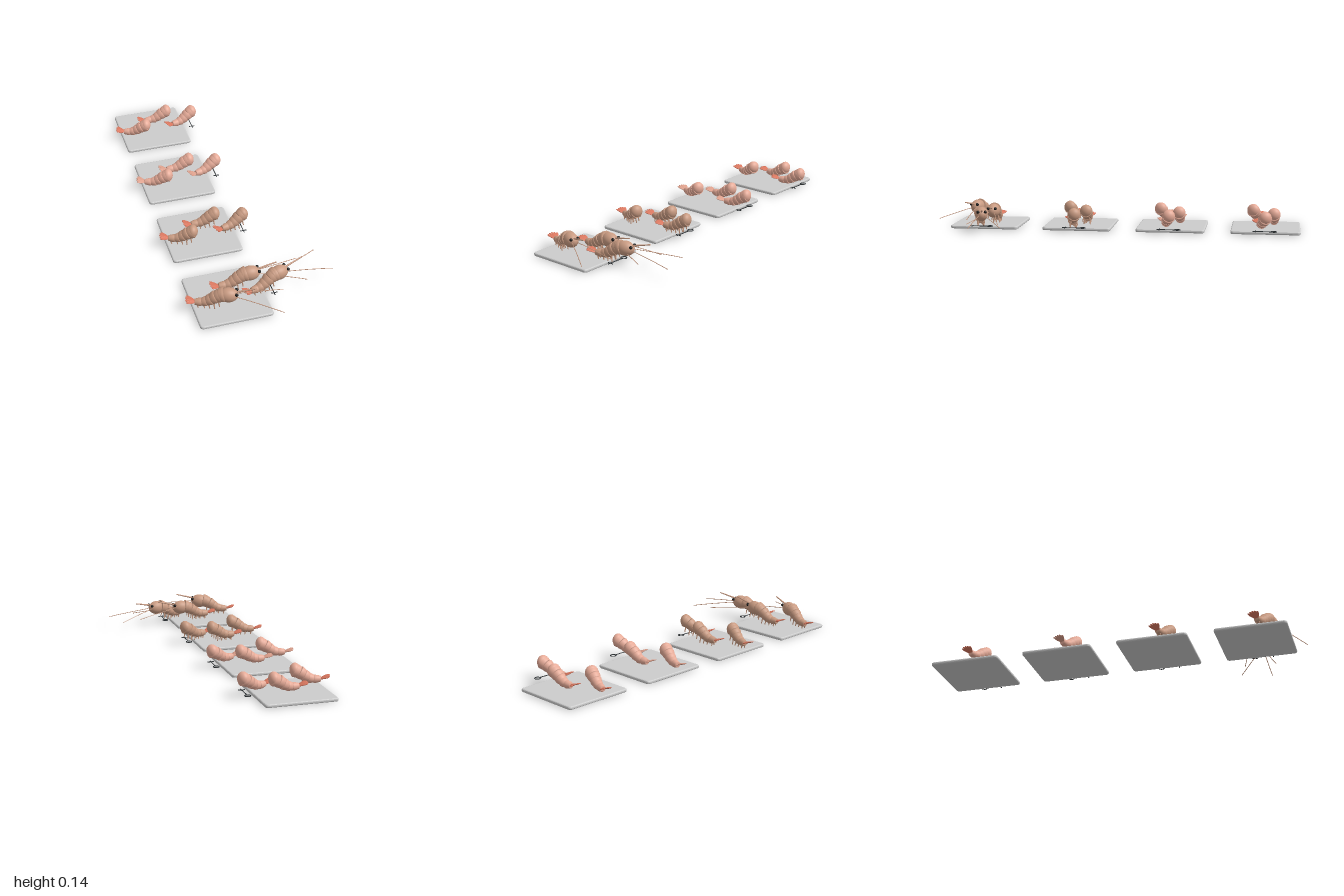
import * as THREE from 'three';

const mat = (color) => new THREE.MeshStandardMaterial({ color });
const mats = {
  metal: mat(0xcccccc), shell: mat(0xc99b82), flesh: mat(0xe6ab98),
  tail: mat(0xd9775f), paleTail: mat(0xdda08c), dark: mat(0x2b3033), eye: mat(0x181818),
};
const UP = new THREE.Vector3(0, 1, 0);

function add(parent, name, geometry, material, x = 0, y = 0, z = 0) {
  const mesh = new THREE.Mesh(geometry, material);
  mesh.name = name;
  mesh.position.set(x, y, z);
  parent.add(mesh);
  return mesh;
}

// Tapered rod between two points
function rod(parent, name, a, b, r0, r1, material) {
  const dir = b.clone().sub(a);
  const mesh = add(parent, name, new THREE.CylinderGeometry(r1, r0, dir.length(), 8), material);
  mesh.position.copy(a).addScaledVector(dir, 0.5);
  mesh.quaternion.setFromUnitVectors(UP, dir.normalize());
}

// Square tray with rounded corners and a bevelled edge
function tray() {
  const h = 0.183, c = 0.012;
  const s = new THREE.Shape();
  s.moveTo(-h + c, -h);
  s.lineTo(h - c, -h).quadraticCurveTo(h, -h, h, -h + c);
  s.lineTo(h, h - c).quadraticCurveTo(h, h, h - c, h);
  s.lineTo(-h + c, h).quadraticCurveTo(-h, h, -h, h - c);
  s.lineTo(-h, -h + c).quadraticCurveTo(-h, -h, -h + c, -h);
  const g = new THREE.ExtrudeGeometry(s, {
    depth: 0.004, bevelEnabled: true, bevelSize: 0.007, bevelThickness: 0.007, bevelSegments: 3, curveSegments: 6,
  });
  g.rotateX(-Math.PI / 2).translate(0, 0.007, 0);
  return g;
}

// Small hand tool: finger ring, stem and cross bar
function handTool() {
  const g = new THREE.Group();
  g.name = 'handTool';
  const y = 0.0245;
  const v = (x, z) => new THREE.Vector3(x, y, z);
  add(g, 'fingerRing', new THREE.TorusGeometry(0.015, 0.0025, 8, 24).rotateX(Math.PI / 2), mats.dark, 0, y, -0.045);
  rod(g, 'stem', v(0, -0.03), v(0, 0.068), 0.0025, 0.002, mats.dark);
  rod(g, 'crossBar', v(-0.017, 0.053), v(0.017, 0.053), 0.0025, 0.0025, mats.dark);
  return g;
}

// Abdomen stations from tail to front: distance, height, radius
const stations = [
  [0.05, 0.052, 0.015], [0.082, 0.051, 0.019], [0.108, 0.057, 0.0235],
  [0.132, 0.071, 0.0275], [0.156, 0.087, 0.031], [0.182, 0.098, 0.033],
];

// Barrel-shaped body ring with closed ends
function ringGeometry(len, r0, r1, bulge) {
  const pts = [[0, -0.5], [r0 * 0.9, -0.5], [r0 * 0.97 + bulge * 0.4, -0.42], [(r0 + r1) / 2 + bulge, 0],
    [r1 + bulge, 0.36], [r1 * 0.98 + bulge * 0.4, 0.5], [0, 0.5]];
  return new THREE.LatheGeometry(pts.map(([r, t]) => new THREE.Vector2(r, t * len)), 24);
}

function shrimp({ head, legs, body, tail }) {
  const g = new THREE.Group();
  g.name = 'shrimp';

  // Overlapping abdomen rings
  for (let i = 0; i < stations.length - 1; i++) {
    const [x0, y0, r0] = stations[i], [x1, y1, r1] = stations[i + 1];
    const a = new THREE.Vector3(x0, y0, 0), b = new THREE.Vector3(x1, y1, 0);
    const len = a.distanceTo(b) * 1.16;
    const ring = add(g, 'abdomenRing', ringGeometry(len, r0, r1, 0.0025), body);
    ring.position.copy(a).lerp(b, 0.5);
    ring.quaternion.setFromUnitVectors(UP, b.sub(a).normalize());
    if (!legs) continue;
    // Swimming legs in pairs
    for (const side of [-1, 1]) {
      const x = x0 + 0.012, top = Math.max(y0 - r0 * 0.6, 0.03);
      rod(g, 'swimmingLeg', new THREE.Vector3(x, top, side * r0 * 0.5),
        new THREE.Vector3(x + 0.005, i < 4 ? 0.02 : 0.037, side * r0 * 0.65), 0.004, 0.0025, body);
    }
  }
  // Rounded front of the abdomen
  const front = add(g, 'abdomenFront', new THREE.SphereGeometry(0.035, 24, 16), body, 0.178, 0.099, 0);
  front.scale.set(0.8, 1.02, 1);

  // Tail fan
  const fan = new THREE.Group();
  fan.name = 'tailFan';
  fan.position.set(0.056, 0.053, 0);
  fan.rotation.z = -0.33;
  for (let k = -2; k <= 2; k++) {
    const lobe = new THREE.SphereGeometry(1, 12, 8).scale(0.029, 0.004, 0.0095).translate(-0.03, 0, 0);
    add(fan, 'tailLobe', lobe, tail, 0, -Math.abs(k) * 0.0012, 0).rotation.y = k * 0.25;
  }
  g.add(fan);

  if (head) {
    // Carapace and collar
    add(g, 'carapace', new THREE.SphereGeometry(1, 28, 20).scale(0.05, 0.039, 0.036), body, 0.216, 0.098, 0);
    const collar = add(g, 'collar', ringGeometry(0.026, 0.034, 0.036, 0.0025), body, 0.183, 0.099, 0);
    collar.rotation.z = -Math.PI / 2 + 0.2;
    // Rostrum
    rod(g, 'rostrum', new THREE.Vector3(0.235, 0.112, 0), new THREE.Vector3(0.355, 0.138, 0), 0.0055, 0.003, body);
    for (const side of [-1, 1]) {
      add(g, 'eye', new THREE.SphereGeometry(0.0085, 14, 10), mats.eye, 0.257, 0.114, side * 0.02);
      // Long feelers, drooping toward the tip
      const path = new THREE.QuadraticBezierCurve3(new THREE.Vector3(0.25, 0.096, side * 0.012),
        new THREE.Vector3(0.37, 0.082, side * 0.046), new THREE.Vector3(0.492, 0.06, side * 0.086));
      add(g, 'feeler', new THREE.TubeGeometry(path, 16, 0.0019, 6), body);
    }
  }
  return g;
}

export function createModel() {
  const root = new THREE.Group();
  root.name = 'shrimpTrays';
  const { shell, flesh, tail, paleTail } = mats;
  // Whole, headless, fully peeled, and peeled with tail on
  const stages = [
    { z: 0.75, head: true, legs: true, body: shell, tail },
    { z: 0.23, head: false, legs: true, body: shell, tail },
    { z: -0.29, head: false, legs: false, body: flesh, tail: paleTail },
    { z: -0.81, head: false, legs: false, body: flesh, tail },
  ];
  // Tail tip position and heading of the three shrimps on a tray
  const places = [[-0.395, 0.02, -0.29], [-0.25, -0.045, 0], [-0.1, 0.05, 0.28]];
  for (const stage of stages) {
    const set = new THREE.Group();
    set.name = 'traySet';
    set.position.z = stage.z;
    add(set, 'tray', tray(), mats.metal, -0.17, 0, 0);
    const tool = handTool();
    tool.position.x = 0.062;
    set.add(tool);
    for (const [x, z, turn] of places) {
      const s = shrimp(stage);
      s.position.set(x, 0, z);
      s.rotation.y = turn;
      set.add(s);
    }
    root.add(set);
  }
  return root;
}
